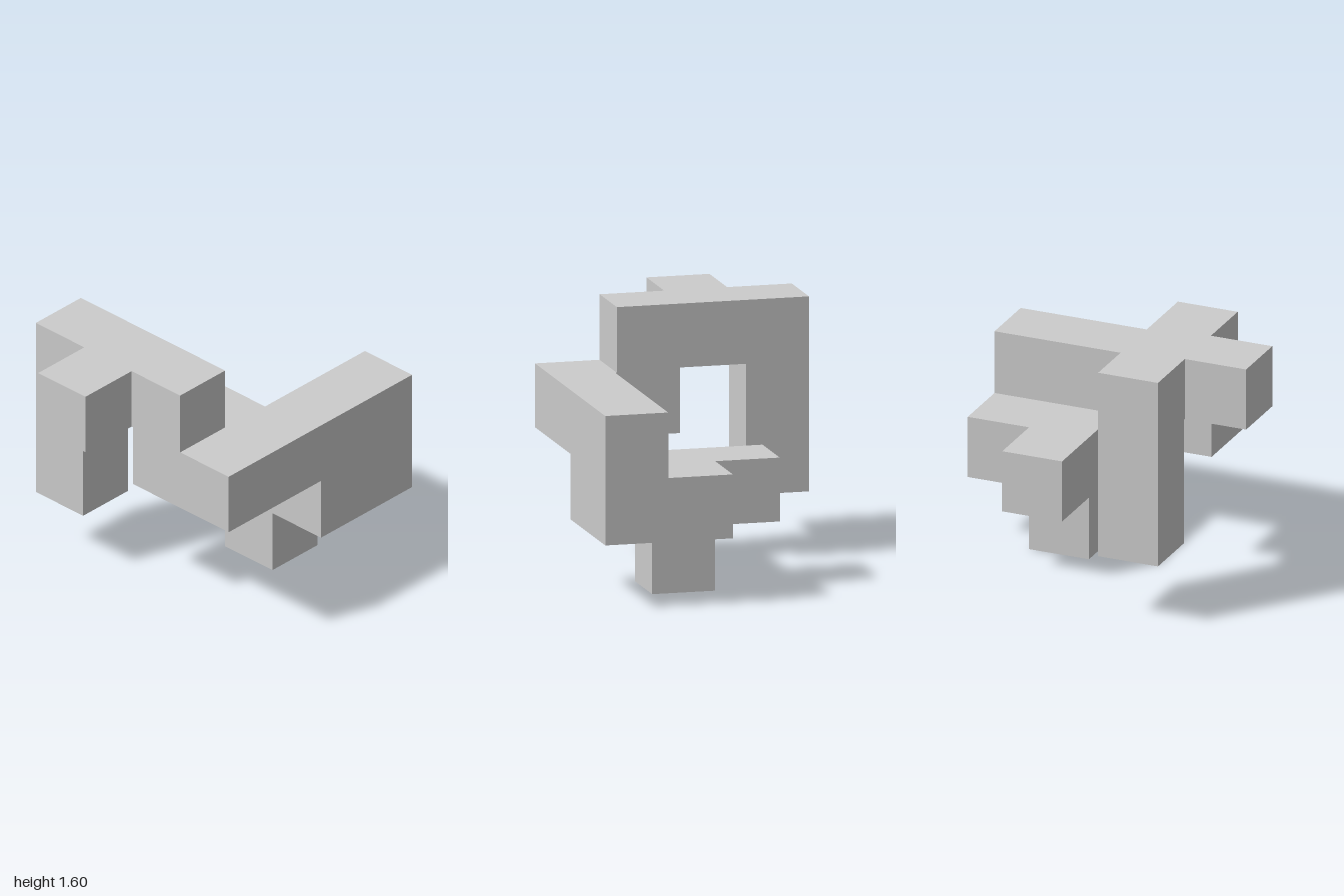
import * as THREE from 'three';

// Cubic lattice: every cell is slightly smaller than the pitch
const PITCH = 0.402, CELL = 0.392;
const span = (start) => ({
  lo: (i) => start + PITCH * i,
  hi: (i) => start + PITCH * i + CELL,
});
const X = span(-1), Y = span(0), Z = span(-0.799);

export function createModel() {
  const group = new THREE.Group();
  const material = new THREE.MeshStandardMaterial({ color: 0xcccccc });

  const add = (name, geometry) => {
    const mesh = new THREE.Mesh(geometry, material);
    mesh.name = name;
    group.add(mesh);
  };
  const plate = (points) => new THREE.ExtrudeGeometry(
    new THREE.Shape(points.map(([a, b]) => new THREE.Vector2(a, b))),
    { depth: CELL, bevelEnabled: false });
  const block = (x0, x1, y0, y1, z0, z1) =>
    new THREE.BoxGeometry(x1 - x0, y1 - y0, z1 - z0)
      .translate((x0 + x1) / 2, (y0 + y1) / 2, (z0 + z1) / 2);

  // Tall arch, profile in z and y, with a short tab that meets the front panel
  add('arch', plate([
    [Z.lo(0), Y.lo(1)], [Z.hi(0), Y.lo(1)], [Z.hi(0), Y.lo(3)], [Z.lo(2), Y.lo(3)],
    [Z.lo(2), Y.lo(2)], [Z.lo(3), Y.lo(2)], [Z.lo(3), Y.hi(2)], [Z.hi(2), Y.hi(2)],
    [Z.hi(2), Y.hi(3)], [Z.lo(0), Y.hi(3)],
  ]).rotateY(-Math.PI / 2).translate(X.hi(1), 0, 0));

  // Arm sticking out sideways from the top of the arch
  add('sideArm', block(X.lo(0), X.lo(1), Y.lo(3), Y.hi(3), Z.lo(1), Z.hi(1)));

  // Front panel: long bar with a deeper left half
  add('frontPanel', plate([
    [X.lo(1), Y.lo(2)], [X.lo(3), Y.lo(2)], [X.lo(3), Y.lo(1)],
    [X.hi(4), Y.lo(1)], [X.hi(4), Y.hi(2)], [X.lo(1), Y.hi(2)],
  ]).translate(0, 0, Z.lo(3)));

  // Ledge behind the panel, profile in x and z
  add('ledge', plate([
    [X.lo(3), Z.lo(1)], [X.hi(3), Z.lo(1)], [X.hi(3), Z.lo(2)],
    [X.hi(4), Z.lo(2)], [X.hi(4), Z.lo(3)], [X.lo(3), Z.lo(3)],
  ]).rotateX(Math.PI / 2).translate(0, Y.hi(1), 0));

  // Foot under the ledge
  add('foot', block(X.lo(3), X.hi(3), Y.lo(0), Y.lo(1), Z.lo(2), Z.hi(2)));

  return group;
}
